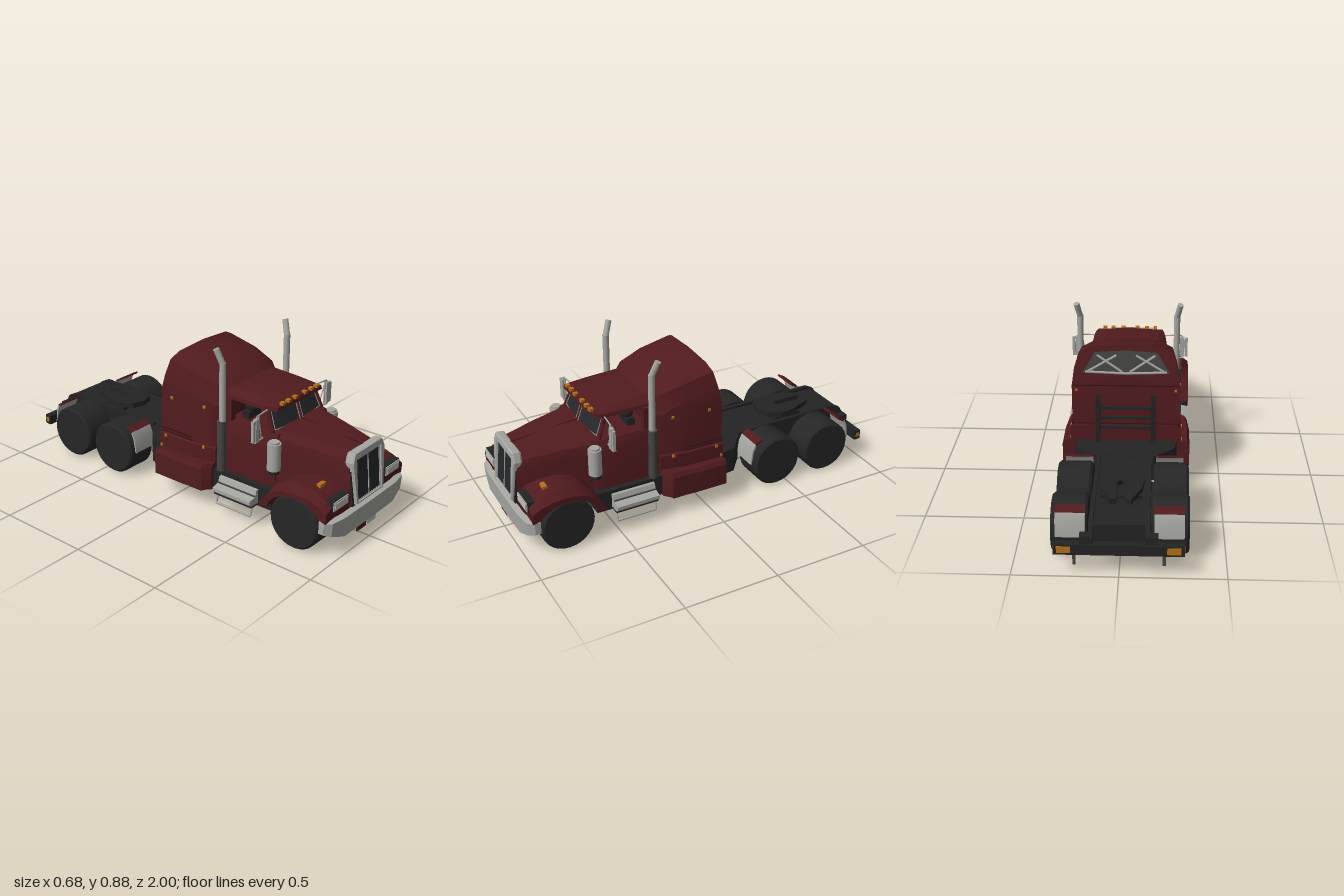
import * as THREE from 'three';
import { toCreasedNormals } from 'three/addons/utils/BufferGeometryUtils.js';

const mat = (name, color, side = THREE.FrontSide) => {
  const m = new THREE.MeshStandardMaterial({ color, side });
  m.name = name;
  return m;
};

export function createModel() {
  const red = mat('paint red', 0x511b1e), black = mat('chassis black', 0x242424);
  const tyre = mat('tyre black', 0x262626), chrome = mat('chrome', 0xa6a6a1);
  const glass = mat('dark glass', 0x25282a, THREE.DoubleSide), amber = mat('amber', 0xb87018);
  const white = mat('plate white', 0xc0c0bb), seam = mat('seam dark red', 0x331214);
  const metal = mat('dark metal', 0x444442, THREE.DoubleSide);
  const model = new THREE.Group();

  const add = (name, geo, m) => {
    const mesh = new THREE.Mesh(geo, m);
    mesh.name = name;
    model.add(mesh);
    return mesh;
  };
  // Box given by its limits; pair() repeats it on the other side
  const box = (name, m, x0, x1, y0, y1, z0, z1) => add(name,
    new THREE.BoxGeometry(x1 - x0, y1 - y0, z1 - z0).translate((x0 + x1) / 2, (y0 + y1) / 2, (z0 + z1) / 2), m);
  const pair = (name, m, x0, x1, ...r) => {
    box(name, m, x0, x1, ...r);
    box(name, m, -x1, -x0, ...r);
  };
  // Round bar between two points, on both sides
  const bars = (name, m, a, b, r, sides = 8) => {
    for (const s of [1, -1]) {
      const p = new THREE.Vector3(a[0] * s, a[1], a[2]), q = new THREE.Vector3(b[0] * s, b[1], b[2]);
      const mesh = add(name, new THREE.CylinderGeometry(r, r, p.distanceTo(q), sides), m);
      mesh.position.copy(p).lerp(q, 0.5);
      mesh.quaternion.setFromUnitVectors(new THREE.Vector3(0, 1, 0), q.sub(p).normalize());
    }
  };
  // Quads mirrored across x = 0
  const quads = (name, m, list, crease = 0.45) => {
    const pos = [];
    const tri = (a, b, c) => {
      pos.push(...a, ...b, ...c);
      for (const p of [a, c, b]) pos.push(-p[0], p[1], p[2]);
    };
    for (const [a, b, c, d] of list) { tri(a, b, c); tri(a, c, d); }
    const g = new THREE.BufferGeometry();
    g.setAttribute('position', new THREE.Float32BufferAttribute(pos, 3));
    return add(name, toCreasedNormals(g, crease), m);
  };
  // Closed symmetric body through half sections, front to back, each from bottom to top
  const loft = (name, m, secs) => {
    const list = [], mid = p => [0, p[1], p[2]];
    const first = secs[0], last = secs[secs.length - 1];
    for (let i = 0; i + 1 < secs.length; i++) {
      const f = secs[i], b = secs[i + 1];
      for (let j = 0; j + 1 < f.length; j++) list.push([f[j], b[j], b[j + 1], f[j + 1]]);
      list.push([f[0], mid(f[0]), mid(b[0]), b[0]]);
    }
    for (let j = 0; j + 1 < first.length; j++) {
      list.push([mid(first[j]), first[j], first[j + 1], mid(first[j + 1])]);
      list.push([last[j], mid(last[j]), mid(last[j + 1]), last[j + 1]]);
    }
    return quads(name, m, list);
  };
  // Side outline of [z, y] points extruded from x0 to x1, on both sides; drop slopes the outer edge down
  const side = (name, m, pts, x0, x1, drop = 0) => {
    const shape = new THREE.Shape(pts.map(([z, y]) => new THREE.Vector2(-z, y)));
    for (const a of [x0, -x1]) {
      const g = new THREE.ExtrudeGeometry(shape, { depth: x1 - x0, bevelEnabled: false, steps: drop ? 5 : 1 });
      g.rotateY(Math.PI / 2).translate(a, 0, 0);
      const p = g.attributes.position;
      for (let i = 0; drop && i < p.count; i++)
        if (Math.abs(p.getX(i)) > x1 - 0.01 && p.getY(i) > 0.2) p.setY(i, 0.2 + (p.getY(i) - 0.2) * (1 - drop));
      add(name, toCreasedNormals(g, 0.5), m);
    }
  };
  // Plan outline of half [x, z] points extruded upward
  const plan = (name, m, half, y0, h) => {
    const all = [...half, ...half.filter(p => p[0] > 0).reverse().map(([x, z]) => [-x, z])];
    const shape = new THREE.Shape(all.map(([x, z]) => new THREE.Vector2(x, -z)));
    return add(name, new THREE.ExtrudeGeometry(shape, { depth: h, bevelEnabled: false })
      .rotateX(-Math.PI / 2).translate(0, y0, 0), m);
  };

  // Wheels
  const wheel = (name, z, x, w) => {
    const h = w / 2;
    const pts = [[0, -h], [0.13, -h], [0.14, -h + 0.012], [0.14, h - 0.012], [0.13, h], [0, h]];
    const g = toCreasedNormals(new THREE.LatheGeometry(pts.map(p => new THREE.Vector2(...p)), 28), 0.5).rotateZ(Math.PI / 2);
    for (const s of [1, -1]) add(name, g, tyre).position.set(x * s, 0.14, z);
  };
  wheel('frontWheel', 0.78, 0.245, 0.188);
  wheel('rearWheel', -0.435, 0.238, 0.172);
  wheel('rearWheel', -0.75, 0.238, 0.172);

  // Chassis
  box('frame', black, -0.14, 0.14, 0.14, 0.25, -0.95, 0.94);
  box('frontAxle', black, -0.16, 0.16, 0.07, 0.15, 0.74, 0.95);
  box('rearAxle', black, -0.17, 0.17, 0.11, 0.16, -0.79, -0.39);
  box('belly', black, -0.27, 0.27, 0.11, 0.22, -0.1, 0.6);
  plan('deck', black, [[0, -0.1], [0.268, -0.1], [0.255, -0.2], [0.15, -0.29], [0, -0.29]], 0.115, 0.137);
  side('frameRail', black, [[-0.3, 0.25], [-0.3, 0.262], [-0.92, 0.268], [-0.965, 0.245], [-0.99, 0.2], [-0.99, 0.15], [-0.9, 0.15]], 0.12, 0.14);
  plan('fifthWheel', black, [[0, -0.5], [0.07, -0.52], [0.108, -0.6], [0.1, -0.68], [0.05, -0.8],
    [0.02, -0.79], [0.02, -0.63], [0, -0.61]], 0.265, 0.028);
  box('fifthWheelBase', black, -0.1, 0.1, 0.25, 0.268, -0.72, -0.56);

  // Quarter fenders, ahead of the first rear axle and behind the second
  const quarter = (axle, dir) => {
    const at = pts => pts.map(([d, y]) => [axle + dir * d, y]);
    side('quarterFenderTop', red, at([[0.09, 0.288], [0.13, 0.266], [0.124, 0.256], [0.086, 0.278]]), 0.16, 0.3);
    side('quarterFenderFlap', chrome, at([[0.13, 0.266], [0.147, 0.228], [0.157, 0.15], [0.15, 0.15], [0.139, 0.223], [0.124, 0.256]]), 0.16, 0.3);
  };
  quarter(-0.435, 1);
  quarter(-0.75, -1);

  // Rear light bar
  box('rearBar', black, -0.3, 0.3, 0.115, 0.168, -0.998, -0.96);
  pair('rearLight', amber, 0.22, 0.285, 0.125, 0.16, -1.0, -0.99);
  pair('rearLightEnd', amber, 0.29, 0.302, 0.13, 0.155, -0.99, -0.97);
  pair('rearBracket', black, 0.13, 0.18, 0.12, 0.21, -0.99, -0.95);
  pair('flapHanger', metal, 0.2, 0.215, 0.04, 0.12, -0.962, -0.955);

  // Hood, cowl and crease
  const hood = (z, dz, w, t) => [[w, 0.2, z + dz], [w, 0.4, z + dz * 0.3], [w - 0.012, t - 0.03, z], [w - 0.05, t, z], [0, t + 0.008, z]];
  loft('hood', red, [hood(0.945, 0.025, 0.14, 0.465), hood(0.75, 0, 0.18, 0.49), hood(0.56, 0, 0.222, 0.503)]);
  bars('hoodCrease', seam, [0.0, 0.476, 0.93], [0, 0.512, 0.57], 0.003, 6);

  // Grille with surround, leaning back
  const V = (x, y) => new THREE.Vector2(x, y);
  const ring = new THREE.Shape([V(-0.116, 0.01), V(0.116, 0.01), V(0.136, 0.225), V(0.116, 0.267), V(-0.116, 0.267), V(-0.136, 0.225)]);
  ring.holes.push(new THREE.Path([V(-0.107, 0.016), V(-0.107, 0.238), V(0.107, 0.238), V(0.107, 0.016)]));
  const grille = new THREE.Group();
  grille.name = 'grille';
  const part = (name, g, m) => { const o = add(name, g, m); grille.add(o); };
  part('grilleSurround', new THREE.ExtrudeGeometry(ring, { depth: 0.03, bevelEnabled: true, bevelSize: 0.004, bevelThickness: 0.008, bevelSegments: 1 }), chrome);
  part('grilleBase', new THREE.BoxGeometry(0.272, 0.22, 0.03).translate(0, 0.11, 0.008), black);
  part('grilleScreen', new THREE.BoxGeometry(0.22, 0.232, 0.02).translate(0, 0.127, 0.018), glass);
  for (const x of [-0.1, 0, 0.1]) part('grilleBar', new THREE.BoxGeometry(0.005, 0.222, 0.006).translate(x, 0.127, 0.029), chrome);
  for (const y of [0.02, 0.233]) part('grilleBar', new THREE.BoxGeometry(0.2, 0.005, 0.006).translate(0, y, 0.029), chrome);
  grille.position.set(0, 0.208, 0.955);
  grille.rotation.x = -0.1;
  model.add(grille);

  // Front fenders with wheel arch, sloping down at the outer edge
  const arch = [];
  for (let i = 0; i <= 12; i++) {
    const a = Math.PI * (0.93 - i * 0.0645);
    arch.push([0.78 + 0.16 * Math.cos(a), 0.14 + 0.16 * Math.sin(a)]);
  }
  side('frontFender', red, [[0.962, 0.2], [0.965, 0.27], [0.92, 0.308], [0.85, 0.332], [0.78, 0.338], [0.7, 0.322],
    [0.64, 0.28], [0.6, 0.22], [0.57, 0.165], ...arch], 0.14, 0.34, 0.28);
  pair('headlightBezel', black, 0.165, 0.295, 0.243, 0.3, 0.9, 0.968);
  pair('headlight', chrome, 0.17, 0.29, 0.249, 0.295, 0.93, 0.974);
  pair('headlightLens', white, 0.178, 0.282, 0.256, 0.288, 0.974, 0.977);
  pair('turnSignal', amber, 0.212, 0.258, 0.318, 0.342, 0.85, 0.872);

  // Bumper, swept back at its ends
  const bump = (x, yb, z) => [[x, yb, z - 0.005], [x, 0.2, z], [x, 0.208, z - 0.03], [x, yb, z - 0.035]];
  const stations = [bump(0, 0.095, 1), bump(0.22, 0.095, 0.998), bump(0.31, 0.128, 0.985), bump(0.34, 0.14, 0.955)];
  const faces = [];
  for (let i = 0; i < 3; i++) for (let j = 0; j < 4; j++) {
    const a = stations[i], b = stations[i + 1], k = (j + 1) % 4;
    faces.push([a[j], b[j], b[k], a[k]]);
  }
  faces.push(stations[3]);
  quads('bumper', chrome, faces, 0.3);
  pair('bumperEnd', chrome, 0.332, 0.34, 0.14, 0.203, 0.925, 0.955);
  box('redPlate', red, -0.085, -0.005, 0.055, 0.095, 0.975, 0.982);
  box('whitePlate', white, 0.003, 0.082, 0.055, 0.095, 0.975, 0.982);

  // Cab: lower body, roof, pillars and glass
  const cab = (z, w) => [[w, 0.19, z], [w, 0.44, z], [w - 0.018, 0.49, z], [0, 0.5, z]];
  loft('cabBody', red, [cab(0.585, 0.222), cab(0.54, 0.238), cab(0.22, 0.24)]);
  const roof = (z, w, y, t) => [[w, y, z], [w - 0.003, y + 0.02, z - 0.004], [w - 0.04, t - 0.008, z - 0.008], [0, t, z]];
  loft('cabRoof', red, [roof(0.565, 0.185, 0.6, 0.628), roof(0.52, 0.198, 0.597, 0.64), roof(0.44, 0.203, 0.597, 0.65), roof(0.24, 0.205, 0.597, 0.658)]);
  bars('frontPillar', red, [0.205, 0.49, 0.55], [0.188, 0.605, 0.505], 0.013, 6);
  bars('windscreenPost', red, [0, 0.495, 0.577], [0, 0.605, 0.537], 0.009, 6);
  pair('rearPillar', red, 0.19, 0.222, 0.48, 0.605, 0.22, 0.31);
  quads('windscreen', glass, [[[0.01, 0.497, 0.575], [0.193, 0.497, 0.55], [0.178, 0.602, 0.507], [0.01, 0.602, 0.536]]]);
  const edge = [[0.012, 0.503, 0.577], [0.188, 0.503, 0.553], [0.176, 0.594, 0.515], [0.012, 0.594, 0.543]];
  edge.forEach((p, i) => bars('windscreenTrim', chrome, p, edge[(i + 1) % 4], 0.0022, 5));
  pair('seat', black, 0.06, 0.16, 0.49, 0.53, 0.33, 0.37);
  for (const x of [0.11, -0.11]) add('headrest', new THREE.SphereGeometry(0.033, 12, 8), black).position.set(x, 0.548, 0.35);
  for (const x of [0.04, 0.095, 0.142]) pair('roofLight', amber, x - 0.011, x + 0.011, 0.622, 0.637, 0.548, 0.57);

  // Sleeper with raised roof
  const sleeper = (z, w, t, lean = 0) => [[w, 0.22, z], [w, 0.56, z], [w - 0.012, t - 0.12, z + lean * 0.4],
    [w * 0.87, t - 0.04, z + lean * 0.8], [w * 0.66, t - 0.01, z + lean], [0, t, z + lean]];
  loft('sleeper', red, [sleeper(0.28, 0.215, 0.655), sleeper(0.225, 0.252, 0.695), sleeper(0.1, 0.275, 0.735), sleeper(-0.105, 0.28, 0.77, 0.045)]);
  const tier = (name, rows, ys) => loft(name, red, rows.map(([z, w]) =>
    [[w, ys[0], z], [w, ys[1], z], [w - 0.012, ys[2], z], [0, ys[2], z]]));
  tier('sleeperLower', [[0.235, 0.256], [0.1, 0.284], [-0.11, 0.289]], [0.22, 0.325, 0.338]);
  tier('sleeperSkirt', [[0.235, 0.285], [0.2, 0.325], [0.08, 0.335], [-0.108, 0.335]], [0.107, 0.225, 0.248]);
  box('skirtFloor', black, -0.325, 0.325, 0.102, 0.108, -0.105, 0.2);
  for (const y of [0.338, 0.355]) pair('sleeperSeam', seam, 0.272, 0.283, y, y + 0.005, -0.108, 0.1);
  for (const y of [0.345, 0.56]) box('rearSeam', seam, -0.28, 0.28, y, y + 0.005, -0.109, -0.104);
  for (const [z, y, x] of [[0.17, 0.54, 0.263], [-0.03, 0.54, 0.279], [0.17, 0.32, 0.27], [-0.07, 0.32, 0.287], [-0.1, 0.26, 0.288]])
    pair('sideMarker', amber, x - 0.006, x + 0.006, y - 0.007, y + 0.007, z - 0.007, z + 0.007);
  pair('rearMarker', amber, 0.25, 0.262, 0.53, 0.542, -0.112, -0.104);

  // Rear opening of the roof with struts
  const back = (x, y) => [x, y, -0.113 + Math.max(0, y - 0.56) * 0.215];
  quads('rearOpening', metal, [[back(0, 0.62), back(0, 0.745), back(0.16, 0.735), back(0.225, 0.63)]]);
  bars('openingStrut', chrome, back(0.2, 0.635), back(0.05, 0.72), 0.007, 6);
  bars('openingStrut', chrome, back(0.02, 0.635), back(0.15, 0.72), 0.007, 6);
  bars('openingStrut', chrome, back(0, 0.628), back(0.21, 0.635), 0.007, 6);

  // Rack behind the sleeper
  pair('rackPost', black, 0.13, 0.155, 0.24, 0.525, -0.145, -0.12);
  for (const y of [0.33, 0.385, 0.44]) box('rackBar', black, -0.14, 0.14, y, y + 0.014, -0.138, -0.124);

  // Exhaust stacks
  bars('muffler', metal, [0.268, 0.23, 0.285], [0.268, 0.5, 0.285], 0.023, 14);
  bars('stack', chrome, [0.262, 0.5, 0.285], [0.262, 0.805, 0.285], 0.017, 14);
  bars('stackTip', chrome, [0.262, 0.798, 0.285], [0.279, 0.876, 0.258], 0.016, 14);

  // Air cleaners
  bars('airCleaner', chrome, [0.243, 0.325, 0.59], [0.243, 0.465, 0.59], 0.034, 18);
  bars('airCleanerCap', chrome, [0.243, 0.465, 0.59], [0.243, 0.475, 0.59], 0.026, 18);
  bars('airCleanerBase', black, [0.243, 0.305, 0.59], [0.243, 0.325, 0.59], 0.028, 18);

  // Mirrors on tube frames
  pair('mirror', chrome, 0.284, 0.309, 0.475, 0.59, 0.51, 0.53);
  pair('mirrorOuter', chrome, 0.311, 0.328, 0.475, 0.585, 0.513, 0.528);
  const frame = [[0.19, 0.602, 0.51], [0.29, 0.602, 0.52], [0.297, 0.59, 0.52]];
  bars('mirrorArm', chrome, frame[0], frame[1], 0.004);
  bars('mirrorArm', chrome, frame[1], frame[2], 0.004);
  bars('mirrorArm', chrome, [0.225, 0.465, 0.51], [0.305, 0.465, 0.52], 0.004);
  bars('mirrorArm', chrome, [0.277, 0.465, 0.52], [0.277, 0.602, 0.52], 0.004);
  bars('mirrorArm', chrome, [0.24, 0.465, 0.51], [0.277, 0.59, 0.52], 0.003);

  // Stepped tank covers with hanging step
  pair('stepBase', black, 0.2, 0.325, 0.117, 0.126, 0.285, 0.52);
  const steps = [[0.2, 0.125], [0.325, 0.125], [0.34, 0.14], [0.34, 0.158], [0.295, 0.168], [0.285, 0.2], [0.2, 0.21]];
  for (const s of [1, -1]) {
    const pts = steps.map(([x, y]) => V(x * s, y));
    add('tankSteps', new THREE.ExtrudeGeometry(new THREE.Shape(pts), { depth: 0.235, bevelEnabled: false }).translate(0, 0, 0.285), chrome);
  }
  bars('stepGap', metal, [0.294, 0.17, 0.287], [0.294, 0.17, 0.518], 0.005, 6);
  bars('hangingStep', chrome, [0.325, 0.072, 0.3], [0.325, 0.072, 0.515], 0.006);
  for (const z of [0.3, 0.515]) bars('stepHanger', chrome, [0.31, 0.13, z], [0.325, 0.072, z], 0.005);

  return model;
}
